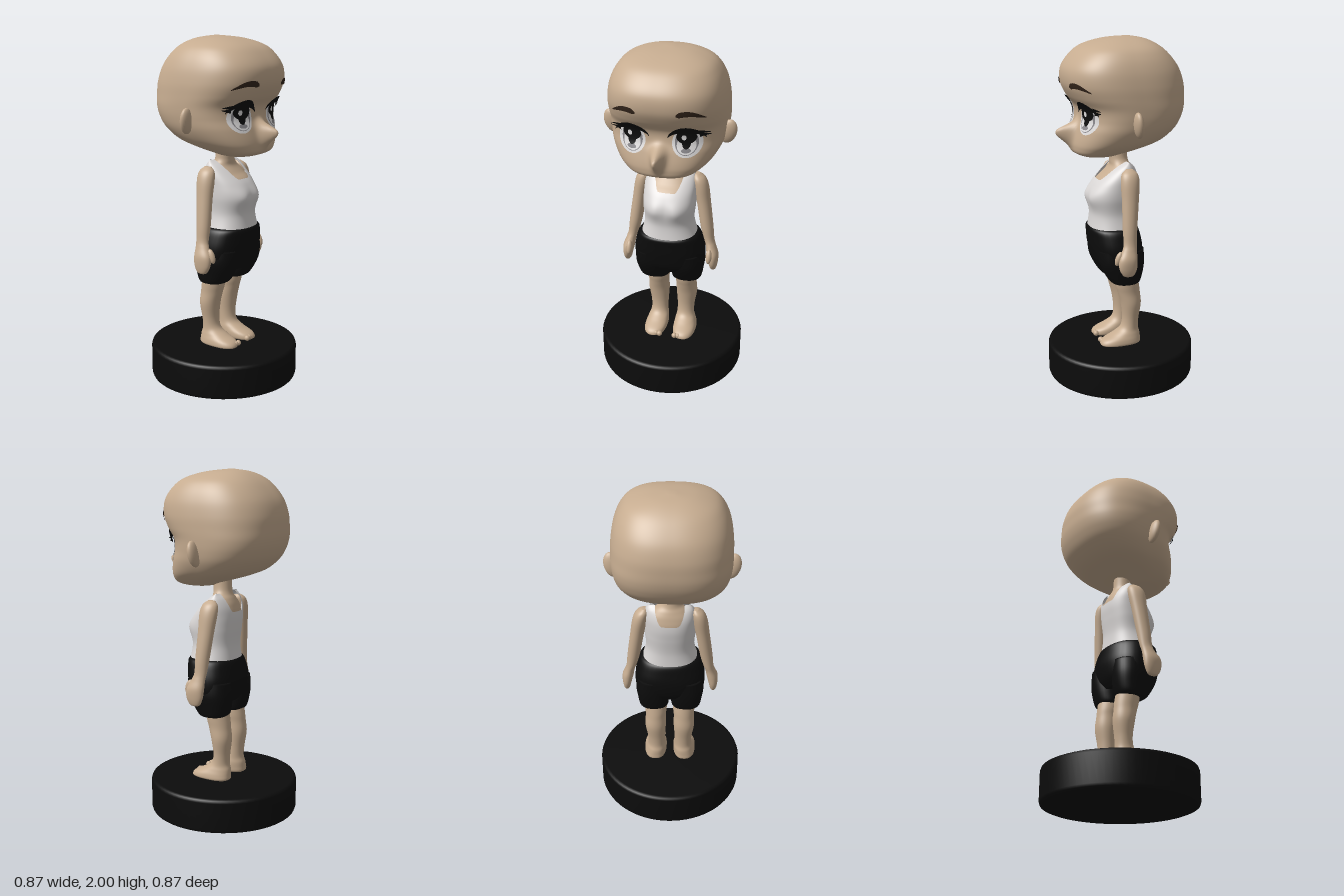
import * as THREE from 'three';

const mat = (name, color, side = THREE.FrontSide) => {
  const m = new THREE.MeshStandardMaterial({ color, side });
  m.name = name;
  return m;
};
const SKIN = mat('skin', 0xc6ac90);
const SHIRT = mat('white cloth', 0xd8d5d4, THREE.DoubleSide);
const BLACK = mat('black', 0x0c0c0c, THREE.DoubleSide);
const BROW = mat('brow brown', 0x32241a, THREE.DoubleSide);
const EYE = mat('eye white', 0xe2e0e0, THREE.DoubleSide);
const IRIS = mat('iris grey', 0x8a888c, THREE.DoubleSide);

function add(parent, name, geo, material) {
  const m = new THREE.Mesh(geo, material);
  m.name = name;
  parent.add(m);
  return m;
}

// Smoothly interpolated cross-section: [y, centre x, centre z, half width, half depth, exponent]
function at(rows, t) {
  const i = Math.min(Math.floor(t), rows.length - 2), f = t - i;
  const r = k => rows[Math.max(0, Math.min(rows.length - 1, k))];
  return rows[0].map((_, c) => {
    const a = r(i - 1)[c], b = r(i)[c], d = r(i + 1)[c], e = r(i + 2)[c];
    return b + 0.5 * f * (d - a + f * (2 * a - 5 * b + 4 * d - e + f * (3 * (b - d) + e - a)));
  });
}
function atHeight(rows, y) {
  let lo = 0, hi = rows.length - 1;
  for (let k = 0; k < 24; k++) {
    const mid = (lo + hi) / 2;
    if (at(rows, mid)[0] < y) lo = mid; else hi = mid;
  }
  return at(rows, lo);
}

// Skin of stacked superellipse rings, rows from bottom to top
function loft(rows, { seg = 40, sub = 6, bump = () => 0, top = null } = {}) {
  const n = (rows.length - 1) * sub, pos = [], idx = [];
  for (let i = 0; i <= n; i++) {
    for (let j = 0; j < seg; j++) {
      const th = (j / seg) * Math.PI * 2, c = Math.cos(th), s = Math.sin(th);
      const y0 = rows[0][0];
      const [y, cx, cz, a, b, e] = top ? atHeight(rows, y0 + (top(c, s) - y0) * i / n) : at(rows, i / sub);
      const r = 1 / Math.pow(Math.abs(c) ** e + Math.abs(s) ** e, 1 / e);
      const x = cx + Math.max(a, 0.002) * c * r;
      pos.push(x, y, cz + Math.max(b, 0.002) * s * r + (s > 0 ? bump(x, y) : 0));
      const k = (j + 1) % seg, p = i * seg;
      if (i < n) idx.push(p + j, p + seg + j, p + k, p + seg + j, p + seg + k, p + k);
    }
  }
  if (!top) {
    const end = rows[rows.length - 1], m = pos.length / 3;
    pos.push(rows[0][1], rows[0][0], rows[0][2], end[1], end[0], end[2]);
    for (let j = 0; j < seg; j++) {
      const k = (j + 1) % seg;
      idx.push(m, j, k, m + 1, n * seg + k, n * seg + j);
    }
  }
  const g = new THREE.BufferGeometry();
  g.setAttribute('position', new THREE.Float32BufferAttribute(pos, 3));
  g.setIndex(idx);
  g.computeVertexNormals();
  return g;
}

const CX = -0.013;
const HEAD = [
  [1.335, 0.14, 0.03, 0.03], [1.345, 0.14, 0.12, 0.09], [1.365, 0.135, 0.18, 0.14], [1.40, 0.08, 0.235, 0.205],
  [1.44, 0.028, 0.275, 0.253], [1.50, -0.015, 0.308, 0.28], [1.56, -0.042, 0.323, 0.288], [1.62, -0.048, 0.329, 0.299],
  [1.68, -0.028, 0.33, 0.322], [1.75, -0.01, 0.327, 0.335], [1.83, 0.002, 0.312, 0.32], [1.90, 0.004, 0.28, 0.271],
  [1.95, 0, 0.23, 0.21], [1.985, -0.02, 0.135, 0.12], [2.0, -0.04, 0.02, 0.02],
].map(([y, z, a, b]) => [y, CX, z, a, b, 2.5]);

// Pointed nose raised from the face
const nose = (x, y) => 0.106 * Math.exp(-(((x - CX) / 0.032) ** 2) - ((y - 1.485) / (y > 1.485 ? 0.043 : 0.064)) ** 2);
function faceZ(x, y) {
  const [, cx, cz, a, b, e] = atHeight(HEAD, y);
  const u = Math.min(Math.abs(x - cx) / a, 0.98);
  return cz + b * Math.pow(1 - u ** e, 1 / e) + nose(x, y);
}

// Thin patch lying on the face; edge(u) gives [distance from centre line, top y, bottom y, lift]
function patch(side, edge, nu = 28, nv = 8) {
  const g = new THREE.PlaneGeometry(1, 1, nu, nv), p = g.attributes.position;
  for (let i = 0; i < p.count; i++) {
    const [d, y1, y0, lift] = edge(p.getX(i) + 0.5);
    const x = CX + side * d, y = y0 + (y1 - y0) * (p.getY(i) + 0.5);
    p.setXYZ(i, x, y, faceZ(x, y) + lift);
  }
  // keep the faces turned forward on the mirrored side
  if (side < 0) g.setIndex([...g.index.array].reverse());
  g.computeVertexNormals();
  return g;
}
const oval = (cx, cy, rx, ry, lift) => u => {
  const h = ry * Math.sin(Math.PI * u);
  return [cx - rx * Math.cos(Math.PI * u), cy + h, cy - h, lift];
};

export function createModel() {
  const model = new THREE.Group();
  model.name = 'figure on stand';

  // Round stand with a softened rim
  const rim = [[0, 0], [0.415, 0], [0.429, 0.006], [0.434, 0.02], [0.434, 0.18], [0.429, 0.194], [0.415, 0.2], [0, 0.2]];
  add(model, 'stand', new THREE.LatheGeometry(rim.map(p => new THREE.Vector2(...p)), 72), BLACK);

  // Head and neck
  add(model, 'head', loft(HEAD, { seg: 200, sub: 7, bump: nose }), SKIN);
  add(model, 'neckAndChest', loft([
    [1.05, 0, 0.04, 0.12, 0.11, 2.3], [1.17, 0, 0.033, 0.135, 0.118, 2.3], [1.23, 0, 0.01, 0.125, 0.085, 2.2],
    [1.27, 0, 0.002, 0.095, 0.062, 2], [1.30, -0.004, 0.008, 0.064, 0.054, 2], [1.34, -0.008, 0.012, 0.055, 0.053, 2],
    [1.43, -0.012, 0.015, 0.056, 0.055, 2],
  ]), SKIN);

  // Vest with scooped neckline and shoulder straps
  const bust = (x, y) => 0.012 * Math.exp(-(((Math.abs(x) - 0.07) / 0.045) ** 2) - ((y - 1.1) / 0.05) ** 2);
  add(model, 'vest', loft([
    [0.90, 0, 0.053, 0.168, 0.14, 2.3], [1.0, 0, 0.05, 0.142, 0.13, 2.3], [1.1, 0, 0.052, 0.15, 0.142, 2.3],
    [1.17, 0, 0.035, 0.15, 0.13, 2.3], [1.23, 0, 0.012, 0.148, 0.099, 2.3], [1.28, 0, -0.005, 0.136, 0.056, 2.3],
    [1.308, 0, -0.015, 0.115, 0.008, 2.2],
  ], { seg: 96, bump: bust, top: c => 1.2 + 0.107 * THREE.MathUtils.smoothstep(Math.abs(c), 0.3, 0.72) }), SHIRT);

  // Shorts
  add(model, 'shortsHips', loft([
    [0.67, 0, 0.025, 0.15, 0.1, 2.4], [0.72, 0, 0.03, 0.2, 0.132, 2.5], [0.80, 0, 0.035, 0.207, 0.148, 2.5],
    [0.87, 0, 0.045, 0.195, 0.148, 2.4], [0.915, 0, 0.053, 0.178, 0.143, 2.3], [0.93, 0, 0.053, 0.15, 0.12, 2.3],
  ]), BLACK);

  for (const s of [1, -1]) {
    const side = new THREE.Group();
    side.name = s > 0 ? 'leftSide' : 'rightSide';
    model.add(side);

    add(side, 'shortsLeg', loft([
      [0.592, s * 0.096, 0.005, 0.07, 0.062, 2.3], [0.60, s * 0.096, 0.005, 0.087, 0.085, 2.4],
      [0.65, s * 0.1, 0.015, 0.094, 0.11, 2.5], [0.72, s * 0.104, 0.026, 0.1, 0.13, 2.5], [0.80, s * 0.1, 0.032, 0.1, 0.135, 2.4],
    ]), BLACK);

    // Leg running down into the foot
    add(side, 'legAndFoot', loft([
      [0.2, s * 0.088, 0.03, 0.055, 0.11, 2.4], [0.21, s * 0.09, 0.03, 0.067, 0.122, 2.5], [0.235, s * 0.088, 0.022, 0.067, 0.114, 2.4],
      [0.265, s * 0.084, -0.008, 0.06, 0.082, 2.2], [0.30, s * 0.082, -0.028, 0.052, 0.054, 2], [0.36, s * 0.083, -0.036, 0.053, 0.049, 2],
      [0.45, s * 0.087, -0.037, 0.063, 0.06, 2], [0.52, s * 0.086, -0.025, 0.062, 0.066, 2], [0.57, s * 0.085, -0.015, 0.066, 0.07, 2],
      [0.66, s * 0.088, 0, 0.068, 0.07, 2],
    ]), SKIN);
    for (let i = 0; i < 5; i++) {
      const toe = add(side, 'toe', new THREE.SphereGeometry(0.017 - i * 0.0015, 12, 8), SKIN);
      toe.position.set(s * (0.047 + i * 0.021), 0.219, 0.138 - i * i * 0.0025);
    }

    // Arm and mitten-like hand
    add(side, 'armAndHand', loft([
      [0.68, s * 0.26, 0.035, 0.008, 0.016, 2], [0.69, s * 0.26, 0.036, 0.018, 0.034, 2.2], [0.73, s * 0.259, 0.038, 0.027, 0.052, 2.2],
      [0.78, s * 0.253, 0.036, 0.033, 0.054, 2.2], [0.83, s * 0.24, 0.024, 0.029, 0.042, 2], [0.87, s * 0.228, 0.016, 0.03, 0.038, 2],
      [0.95, s * 0.213, 0.013, 0.037, 0.042, 2], [1.1, s * 0.19, 0.003, 0.04, 0.048, 2], [1.20, s * 0.172, -0.002, 0.043, 0.054, 2],
      [1.25, s * 0.158, -0.004, 0.036, 0.046, 2], [1.275, s * 0.146, -0.006, 0.015, 0.02, 2],
    ]), SKIN);
    const thumb = add(side, 'thumb', new THREE.SphereGeometry(1, 16, 12), SKIN);
    thumb.scale.set(0.018, 0.043, 0.02);
    thumb.position.set(s * 0.24, 0.785, 0.088);
    thumb.rotation.x = -0.35;

    // Ear
    const ear = add(side, 'ear', new THREE.SphereGeometry(1, 24, 18), SKIN);
    ear.scale.set(0.048, 0.074, 0.027);
    ear.position.set(CX + s * 0.329, 1.55, 0);
    ear.rotation.set(0.12, 0, s * -0.25);

    // Eye, built up in thin layers
    const layers = [
      ['eyeWhite', EYE, oval(0.151, 1.563, 0.079, 0.08, 0.003)],
      ['irisRim', IRIS, oval(0.148, 1.566, 0.061, 0.07, 0.005)],
      ['irisGlow', EYE, oval(0.148, 1.55, 0.05, 0.05, 0.0065)],
      ['irisShade', BLACK, oval(0.148, 1.597, 0.053, 0.04, 0.008)],
      ['pupil', BLACK, oval(0.148, 1.56, 0.022, 0.03, 0.0085)],
      ['lowerGlint', IRIS, oval(0.148, 1.522, 0.026, 0.012, 0.0085)],
      ['glint', EYE, oval(0.148 - s * 0.012, 1.594, 0.013, 0.015, 0.01)],
    ];
    for (const [name, m, edge] of layers) add(side, name, patch(s, edge), m);
    add(side, 'upperLash', patch(s, u => {
      const h = Math.sin(Math.PI * u) ** 0.7;
      return [0.05 + 0.2 * u, 1.595 + 0.07 * h, 1.59 + 0.036 * h, 0.011 + 0.015 * u ** 3];
    }), BLACK);
    for (const [y, rise] of [[1.605, 0.008], [1.625, 0.0]]) {
      add(side, 'lashTip', patch(s, u => {
        const mid = y + rise * u, h = 0.011 * (1 - u);
        return [0.215 + 0.064 * u, mid + h, mid - h, 0.013 + 0.035 * u * u];
      }, 8, 2), BLACK);
    }

    // Eyebrow
    add(side, 'eyebrow', patch(s, u => {
      const mid = 1.742 + 0.014 * Math.sin(Math.PI * u) - 0.022 * u * u;
      const h = 0.016 * Math.min(1, 6 * u + 0.3) * (1 - 0.85 * u ** 3);
      return [0.107 + 0.145 * u, mid + h, mid - h, 0.006];
    }), BROW);
  }
  return model;
}
